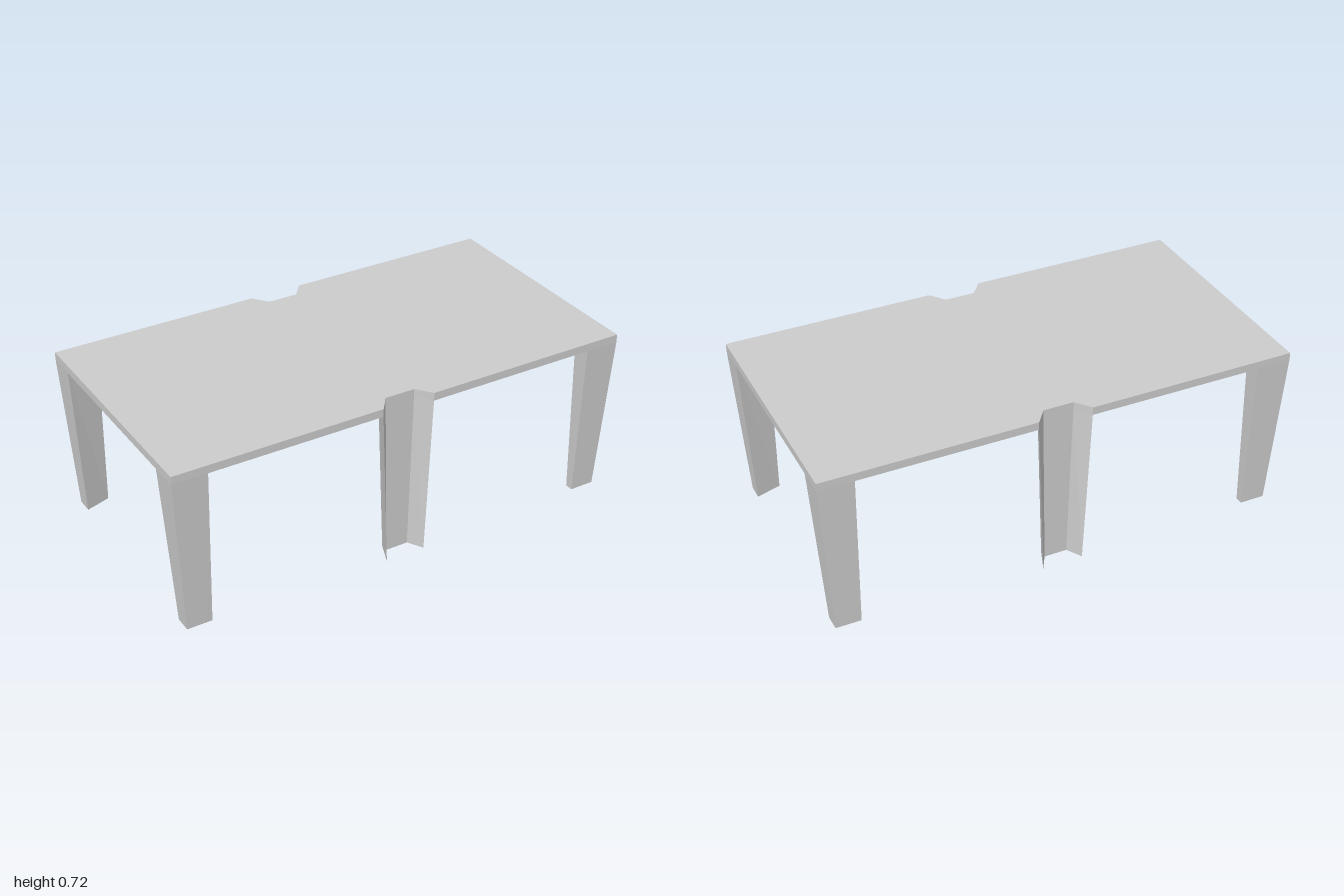
import * as THREE from 'three';

const HEIGHT = 0.717, UNDER = 0.683, HALF_Z = 0.517;

// Solid between two outlines of [x, z] points with matching corners.
function loft(bottom, top, y0, y1) {
  const flat = bottom.map(([x, z]) => new THREE.Vector2(x, z));
  if (THREE.ShapeUtils.area(flat) < 0) {
    return loft([...bottom].reverse(), [...top].reverse(), y0, y1);
  }
  const low = bottom.map(([x, z]) => [x, y0, z]);
  const high = top.map(([x, z]) => [x, y1, z]);
  const pos = [];
  const tri = (a, b, c) => pos.push(...a, ...b, ...c);
  for (let i = 0; i < low.length; i++) {
    const j = (i + 1) % low.length;
    tri(low[i], high[j], low[j]);
    tri(low[i], high[i], high[j]);
  }
  for (const [a, b, c] of THREE.ShapeUtils.triangulateShape(flat, [])) {
    tri(low[a], low[b], low[c]);
    tri(high[a], high[c], high[b]);
  }
  const geometry = new THREE.BufferGeometry();
  geometry.setAttribute('position', new THREE.Float32BufferAttribute(pos, 3));
  geometry.computeVertexNormals();
  return geometry;
}

const mirror = (points, sx, sz) => points.map(([x, z]) => [x * sx, z * sz]);

export function createModel() {
  const group = new THREE.Group();
  const material = new THREE.MeshStandardMaterial({ color: 0xcccccc, flatShading: true });
  const add = (name, bottom, top, y0, y1) => {
    const mesh = new THREE.Mesh(loft(bottom, top, y0, y1), material);
    mesh.name = name;
    group.add(mesh);
  };

  // Table top with a trapezoid notch in each long edge
  const edge = [[1, HALF_Z], [0.114, HALF_Z], [0.064, 0.453], [-0.064, 0.453], [-0.114, HALF_Z], [-1, HALF_Z]];
  const outline = [...edge, ...mirror(edge, -1, -1)];
  add('tableTop', outline, outline, UNDER, HEIGHT);

  // Tapered corner legs with a slanted inner face
  const cornerTop = [[1, HALF_Z], [0.853, HALF_Z], [0.853, 0.437], [1, 0.395]];
  const cornerFoot = [[0.96, 0.492], [0.853, 0.492], [0.853, 0.457], [0.96, 0.422]];

  // Middle legs folded around the notches, with sharp outer edges
  const middleTop = [[0.114, HALF_Z], [0.064, 0.453], [-0.064, 0.453], [-0.114, HALF_Z], [-0.06, 0.395], [0.06, 0.395]];
  const middleFoot = [[0.087, HALF_Z], [0.049, 0.453], [-0.049, 0.453], [-0.087, HALF_Z], [-0.049, 0.422], [0.049, 0.422]];

  for (const sz of [1, -1]) {
    const end = sz > 0 ? 'front' : 'back';
    for (const sx of [1, -1]) {
      add(`${end}${sx > 0 ? 'Left' : 'Right'}Leg`, mirror(cornerFoot, sx, sz), mirror(cornerTop, sx, sz), 0, UNDER);
    }
    add(`${end}MiddleLeg`, mirror(middleFoot, 1, sz), mirror(middleTop, 1, sz), 0, UNDER);
  }
  return group;
}
